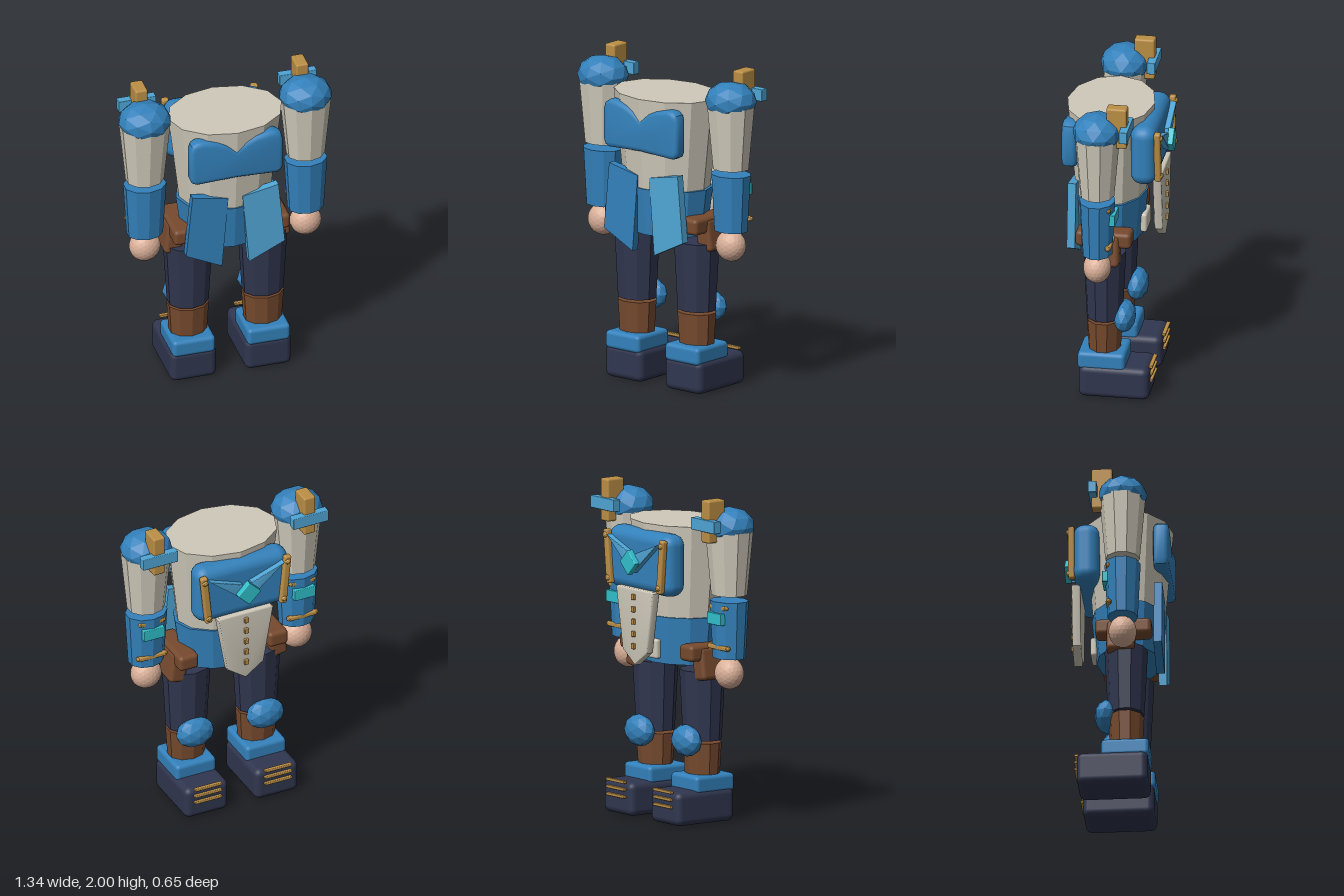
import * as THREE from 'three';
import { RoundedBoxGeometry } from 'three/addons/geometries/RoundedBoxGeometry.js';
import { toCreasedNormals } from 'three/addons/utils/BufferGeometryUtils.js';

const mat = (name, color) => {
  const m = new THREE.MeshStandardMaterial({ color });
  m.name = name;
  return m;
};

export function createModel() {
  const root = new THREE.Group();
  root.name = 'armouredFigure';
  const M = {
    blue: mat('armourBlue', 0x3381bb),
    light: mat('lightBlue', 0x50a6d6),
    cyan: mat('gemCyan', 0x30c0cc),
    ivory: mat('ivory', 0xd0cabb),
    navy: mat('navy', 0x30364f),
    brown: mat('leatherBrown', 0x774a2e),
    gold: mat('gold', 0xbc8f45),
    skin: mat('skin', 0xd9af98),
  };
  const CZ = 0.06; // body axis depth

  const add = (name, geo, material, x, y, z, parent = root) => {
    const m = new THREE.Mesh(geo, material);
    m.name = name;
    m.position.set(x, y, z);
    parent.add(m);
    return m;
  };
  const faceted = (geo) => {
    const g = geo.index ? geo.toNonIndexed() : geo;
    g.computeVertexNormals();
    return g;
  };
  // Tapered faceted tube, squashed in z, between heights y0 and y1
  const taper = (name, material, x, y0, y1, rBottom, rTop, squash, sides, parent) => {
    const g = new THREE.CylinderGeometry(rTop, rBottom, y1 - y0, sides);
    g.scale(1, 1, squash);
    return add(name, faceted(g), material, x, (y0 + y1) / 2, CZ, parent);
  };
  const rbox = (name, material, w, h, d, r, x, y, z, parent) =>
    add(name, new RoundedBoxGeometry(w, h, d, 3, r), material, x, y, z, parent);
  const ball = (name, material, rx, ry, rz, detail, x, y, z, parent) => {
    const g = new THREE.IcosahedronGeometry(1, detail);
    g.scale(rx, ry, rz);
    return add(name, faceted(g), material, x, y, z, parent);
  };
  // Outline in x, y extruded from z0 to z1
  const plate = (name, material, pts, z0, z1, bevel = 0, parent = root) => {
    const s = new THREE.Shape(pts.map((p) => new THREE.Vector2(...p)));
    const g = new THREE.ExtrudeGeometry(s, {
      depth: z1 - z0 - 2 * bevel, bevelEnabled: bevel > 0,
      bevelThickness: bevel, bevelSize: bevel, bevelOffset: -bevel, bevelSegments: 3,
    });
    return add(name, toCreasedNormals(g, 0.6), material, 0, 0, z0 + bevel, parent);
  };
  const mirror = (pts) => [...pts, ...pts.filter((p) => p[0] !== 0).reverse().map(([x, y]) => [-x, y])];

  // Torso and waist
  taper('torso', M.ivory, 0, 1.24, 1.805, 0.29, 0.355, 0.75, 12);
  taper('waist', M.blue, 0, 0.95, 1.24, 0.27, 0.31, 0.73, 12);

  // Notched plate on the +z side
  plate('upperPlate', M.blue, mirror([
    [0, 1.475], [0.25, 1.465], [0.28, 1.48], [0.292, 1.51], [0.292, 1.70],
    [0.28, 1.74], [0.25, 1.76], [0.21, 1.765], [0.12, 1.745], [0.06, 1.72], [0, 1.675],
  ]), 0.225, 0.318, 0.028);

  // Hanging skirt plates, one of each blue
  const skirt = [[0.045, 1.315], [0.085, 0.84], [0.31, 0.95], [0.27, 1.36]];
  plate('leftSkirtPlate', M.light, skirt, 0.23, 0.28);
  plate('rightSkirtPlate', M.blue, skirt.map(([x, y]) => [-x, y]), 0.23, 0.28);

  // Plate on the -z side with its gem and studded tabard
  rbox('chestPlate', M.blue, 0.62, 0.38, 0.16, 0.07, 0, 1.575, -0.18);
  const gem = rbox('chestGem', M.cyan, 0.11, 0.11, 0.04, 0.005, 0, 1.575, -0.308);
  gem.rotation.z = Math.PI / 4;
  gem.scale.set(1, 1, 1);
  plate('tabard', M.ivory, mirror([
    [0, 0.945], [0.12, 1.03], [0.185, 1.40], [0.175, 1.41], [0, 1.41],
  ]), -0.275, -0.222, 0.008);
  for (let i = 0; i < 5; i++) {
    rbox('tabardStud', M.gold, 0.028, 0.034, 0.024, 0.005, 0, 1.36 - i * 0.075, -0.28);
  }
  rbox('beltBuckle', M.ivory, 0.16, 0.12, 0.04, 0.015, 0, 1.04, -0.15);

  for (const s of [1, -1]) {
    const side = s > 0 ? 'left' : 'right';

    // Chest trim
    plate(side + 'ChestWing', M.light,
      [[0.01, 1.51], [0.25, 1.71], [0.03, 1.63]].map(([x, y]) => [s * x, y]), -0.295, -0.25, 0.004);
    const trim = new THREE.Group();
    trim.name = side + 'ChestTrim';
    trim.position.set(s * 0.265, 1.575, -0.268);
    trim.rotation.z = -s * 0.1;
    root.add(trim);
    rbox('trimBar', M.gold, 0.045, 0.33, 0.04, 0.012, 0, 0, 0, trim);
    for (const y of [-0.13, 0.13]) ball('trimKnob', M.gold, 0.02, 0.02, 0.02, 1, 0, y, -0.014, trim);

    // Hip pouches
    rbox(side + 'HipPouch', M.brown, 0.13, 0.1, 0.34, 0.025, s * 0.3, 1.04, 0.05);
    const low = rbox(side + 'LowPouch', M.brown, 0.11, 0.2, 0.17, 0.025, s * 0.33, 0.97, 0.035);
    low.rotation.z = s * 0.15;

    // Arm
    const arm = new THREE.Group();
    arm.name = side + 'Arm';
    arm.position.x = s * 0.505;
    root.add(arm);
    taper('upperArm', M.ivory, 0, 1.41, 1.8, 0.118, 0.157, 0.88, 10, arm);
    taper('forearm', M.blue, 0, 1.025, 1.375, 0.112, 0.133, 0.82, 10, arm);
    ball('hand', M.skin, 0.097, 0.097, 0.085, 3, 0, 0.93, CZ, arm);
    ball('shoulder', M.blue, 0.163, 0.118, 0.15, 1, 0, 1.828, CZ, arm);
    rbox('shoulderPost', M.gold, 0.078, 0.26, 0.125, 0.012, 0, 1.87, -0.062, arm);
    rbox('shoulderBar', M.light, 0.235, 0.075, 0.052, 0.005, 0, 1.848, -0.115, arm);
    rbox('forearmGem', M.cyan, 0.14, 0.072, 0.05, 0.005, 0, 1.272, -0.034, arm);
    for (const [y, w] of [[1.34, 0.15], [1.095, 0.18]]) {
      rbox('forearmBand', M.gold, w, 0.028, 0.034, 0.008, 0, y, -0.018, arm);
      for (const x of [-w / 2, w / 2]) ball('bandKnob', M.gold, 0.016, 0.016, 0.016, 1, x, y, -0.018, arm);
    }

    // Leg
    const leg = new THREE.Group();
    leg.name = side + 'Leg';
    leg.position.x = s * 0.235;
    root.add(leg);
    taper('thigh', M.navy, 0, 0.495, 0.92, 0.128, 0.152, 0.86, 10, leg);
    taper('shin', M.brown, 0, 0.2, 0.48, 0.112, 0.13, 0.84, 10, leg);
    ball('kneePad', M.blue, 0.125, 0.098, 0.07, 1, 0, 0.495, -0.06, leg);
    rbox('ankleCuff', M.blue, 0.268, 0.11, 0.29, 0.025, 0, 0.235, 0.062, leg);
    rbox('boot', M.navy, 0.29, 0.205, 0.43, 0.04, 0, 0.1025, -0.015, leg);
    for (const y of [0.115, 0.16, 0.205]) {
      rbox('bootBand', M.gold, 0.18, 0.018, 0.025, 0.005, 0, y, -0.235, leg);
    }
  }
  return root;
}
